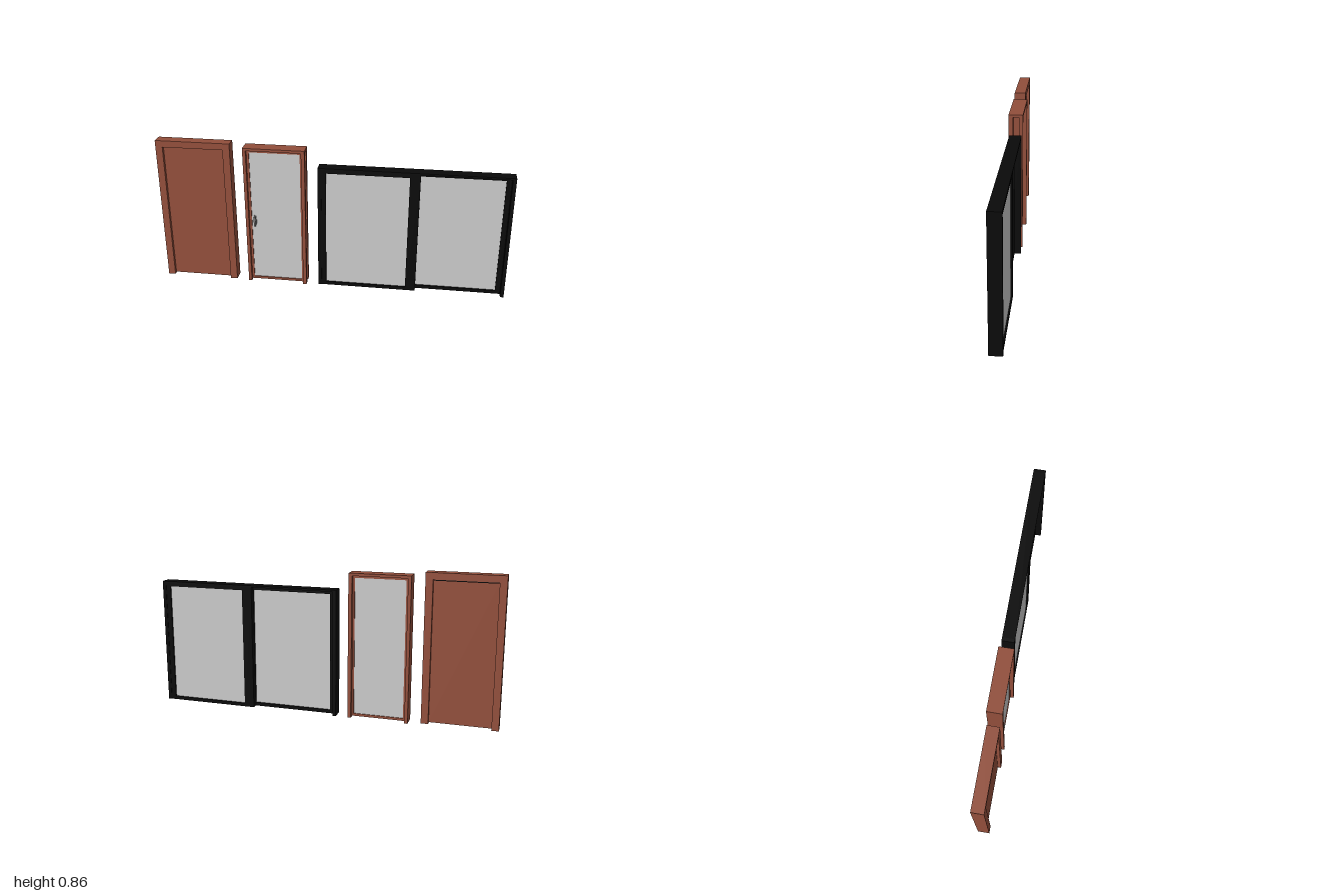
import * as THREE from 'three';

const wood = new THREE.MeshStandardMaterial({ color: 0x914e3b });
wood.name = 'brown wood';
const black = new THREE.MeshStandardMaterial({ color: 0x0a0a0a });
black.name = 'black metal';
const pane = new THREE.MeshStandardMaterial({ color: 0xc8c8c8 });
pane.name = 'pale glass';
const steel = new THREE.MeshStandardMaterial({ color: 0x777777 });
steel.name = 'grey steel';

// Box given by its limits along each axis
function block(group, name, material, [x0, x1], [y0, y1], [z0, z1]) {
  const mesh = new THREE.Mesh(new THREE.BoxGeometry(x1 - x0, y1 - y0, z1 - z0), material);
  mesh.position.set((x0 + x1) / 2, (y0 + y1) / 2, (z0 + z1) / 2);
  mesh.name = name;
  group.add(mesh);
  return mesh;
}

// Glazed panel: two stiles, two rails and a pane in the middle of its depth
function glazedPanel(group, name, material, [x0, x1], [y0, y1], z, left, right, rail, glassInset) {
  const panel = new THREE.Group();
  panel.name = name;
  block(panel, 'leftStile', material, [x0, x0 + left], [y0, y1], z);
  block(panel, 'rightStile', material, [x1 - right, x1], [y0, y1], z);
  for (const [part, y] of [['bottomRail', y0], ['topRail', y1 - rail]]) {
    block(panel, part, material, [x0 + left, x1 - right], [y, y + rail], z);
  }
  block(panel, 'glass', pane, [x0 + left, x1 - right], [y0 + rail, y1 - rail],
    [z[0] + glassInset, z[1] - glassInset]);
  group.add(panel);
}

// Solid door in a deep frame
function solidDoor() {
  const g = new THREE.Group();
  g.name = 'solidDoor';
  const z = [-0.025, 0.042];
  block(g, 'rightJamb', wood, [-1, -0.96], [0.005, 0.82], z);
  block(g, 'leftJamb', wood, [-0.613, -0.572], [0.005, 0.82], z);
  block(g, 'header', wood, [-1, -0.572], [0.82, 0.858], z);
  block(g, 'leaf', wood, [-0.96, -0.613], [0.01, 0.82], [-0.005, 0.023]);
  block(g, 'headerTrack', black, [-0.955, -0.618], [0.814, 0.82], [-0.02, -0.005]);
  return g;
}

// Narrow glazed door with a grooved jamb and a pull handle
function glassDoor() {
  const g = new THREE.Group();
  g.name = 'glassDoor';
  const z = [-0.042, 0.042];
  block(g, 'rightJamb', wood, [-0.5, -0.482], [0, 0.827], z);
  block(g, 'leftJambCore', wood, [-0.17, -0.162], [0, 0.827], z);
  block(g, 'leftJambFrontLip', wood, [-0.162, -0.15], [0, 0.827], [0.015, 0.042]);
  block(g, 'leftJambBackLip', wood, [-0.162, -0.15], [0, 0.827], [-0.042, -0.018]);
  block(g, 'header', wood, [-0.5, -0.15], [0.822, 0.837], z);
  glazedPanel(g, 'sash', wood, [-0.482, -0.17], [0.005, 0.822], [-0.016, 0.022],
    0.013, 0.01, 0.014, 0.006);

  const handle = new THREE.Group();
  handle.name = 'handle';
  block(handle, 'backPlate', steel, [-0.456, -0.442], [0.36, 0.42], [0.016, 0.02]);
  block(handle, 'mount', steel, [-0.453, -0.445], [0.405, 0.417], [0.02, 0.035]);
  block(handle, 'grip', steel, [-0.454, -0.444], [0.36, 0.417], [0.033, 0.041]);
  g.add(handle);
  return g;
}

// Sliding window with two panels on separate tracks
function slidingWindow() {
  const g = new THREE.Group();
  g.name = 'slidingWindow';
  const z = [-0.04, 0.03];
  block(g, 'rightJamb', black, [-0.08, -0.06], [0, 0.737], z);
  block(g, 'leftJamb', black, [0.98, 1], [0, 0.737], z);
  block(g, 'header', black, [-0.06, 0.98], [0.727, 0.737], z);
  glazedPanel(g, 'frontPanel', black, [-0.06, 0.49], [0, 0.727], [-0.002, 0.027],
    0.026, 0.058, 0.02, 0.008);
  glazedPanel(g, 'backPanel', black, [0.432, 0.98], [0, 0.727], [-0.037, -0.006],
    0.058, 0.028, 0.02, 0.008);
  return g;
}

export function createModel() {
  const model = new THREE.Group();
  model.name = 'doorsAndWindow';
  model.add(solidDoor(), glassDoor(), slidingWindow());
  return model;
}
